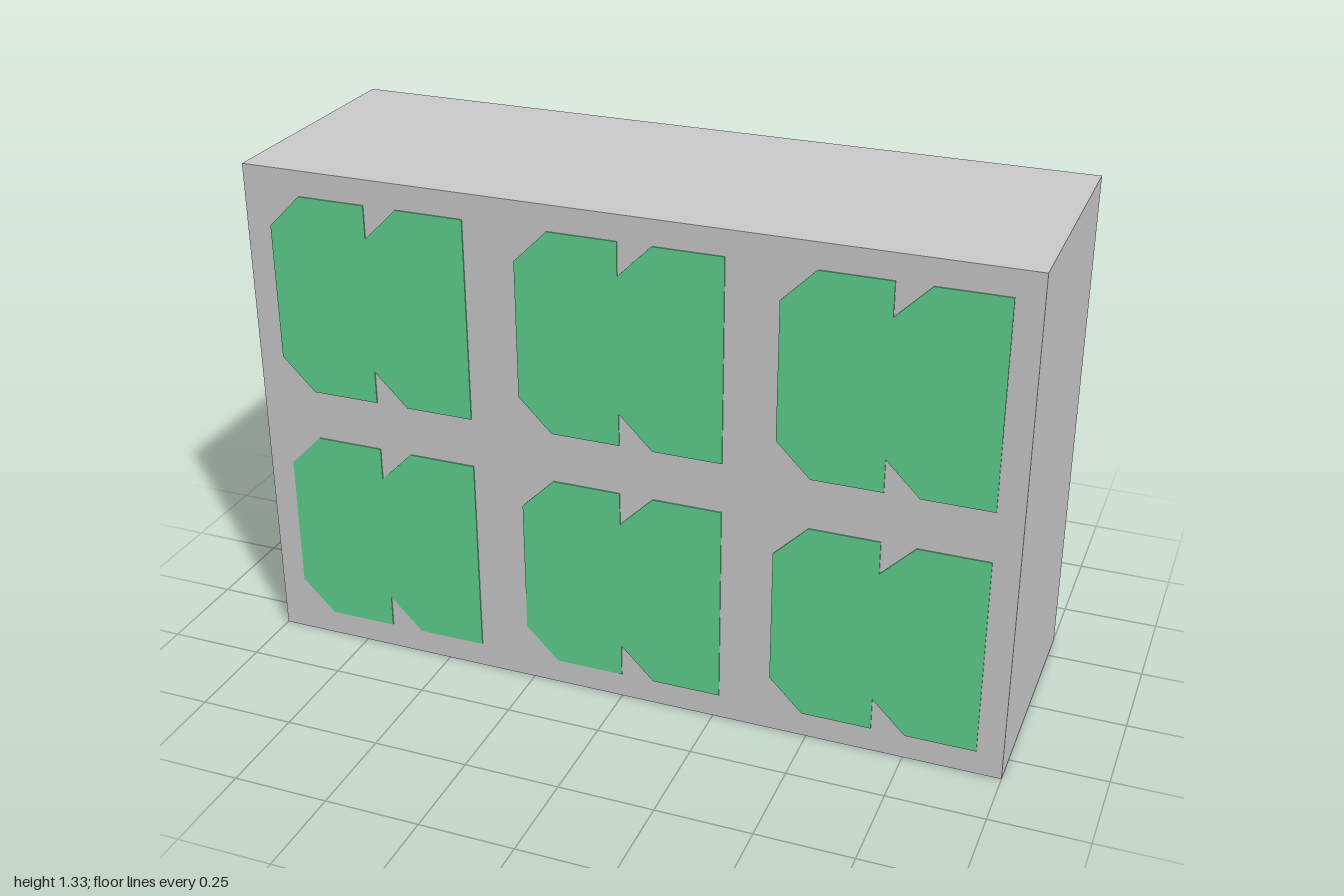
import * as THREE from 'three';

const WIDTH = 2, HEIGHT = 1.333, DEPTH = 0.667;
const PANE = 0.533;      // pane width and height
const CUT = 0.087;       // size of the corner cuts
const PROUD = 0.003;     // how far panes stand out of the wall

// Two joined leaves, each with its -x corners cut off
function paneShape() {
  const h = PANE / 2, c = CUT;
  return new THREE.Shape([
    [-h, -h + c], [-h + c, -h], [0, -h], [0, -h + c], [c, -h], [h, -h],
    [h, h], [c, h], [0, h - c], [0, h], [-h + c, h], [-h, h - c],
  ].map(([x, y]) => new THREE.Vector2(x, y)));
}

export function createModel() {
  const model = new THREE.Group();
  const wallMaterial = new THREE.MeshStandardMaterial({ color: 0xcccccc });
  const paneMaterial = new THREE.MeshStandardMaterial({ color: 0x60d28e });

  // Solid block
  const wall = new THREE.Mesh(new THREE.BoxGeometry(WIDTH, HEIGHT, DEPTH), wallMaterial);
  wall.name = 'wall';
  wall.position.y = HEIGHT / 2;
  model.add(wall);

  // Panes run through the block and show on front and back
  const depth = DEPTH + 2 * PROUD;
  const paneGeometry = new THREE.ExtrudeGeometry(paneShape(), { depth, bevelEnabled: false });
  paneGeometry.translate(0, 0, -depth / 2);

  const panes = new THREE.Group();
  panes.name = 'windowPanes';
  for (let row = 0; row < 2; row++) {
    for (let column = 0; column < 3; column++) {
      const pane = new THREE.Mesh(paneGeometry, paneMaterial);
      pane.name = `windowPane${row * 3 + column + 1}`;
      pane.position.set((column - 1) * WIDTH / 3, (row + 0.5) * HEIGHT / 2, 0);
      panes.add(pane);
    }
  }
  model.add(panes);
  return model;
}
